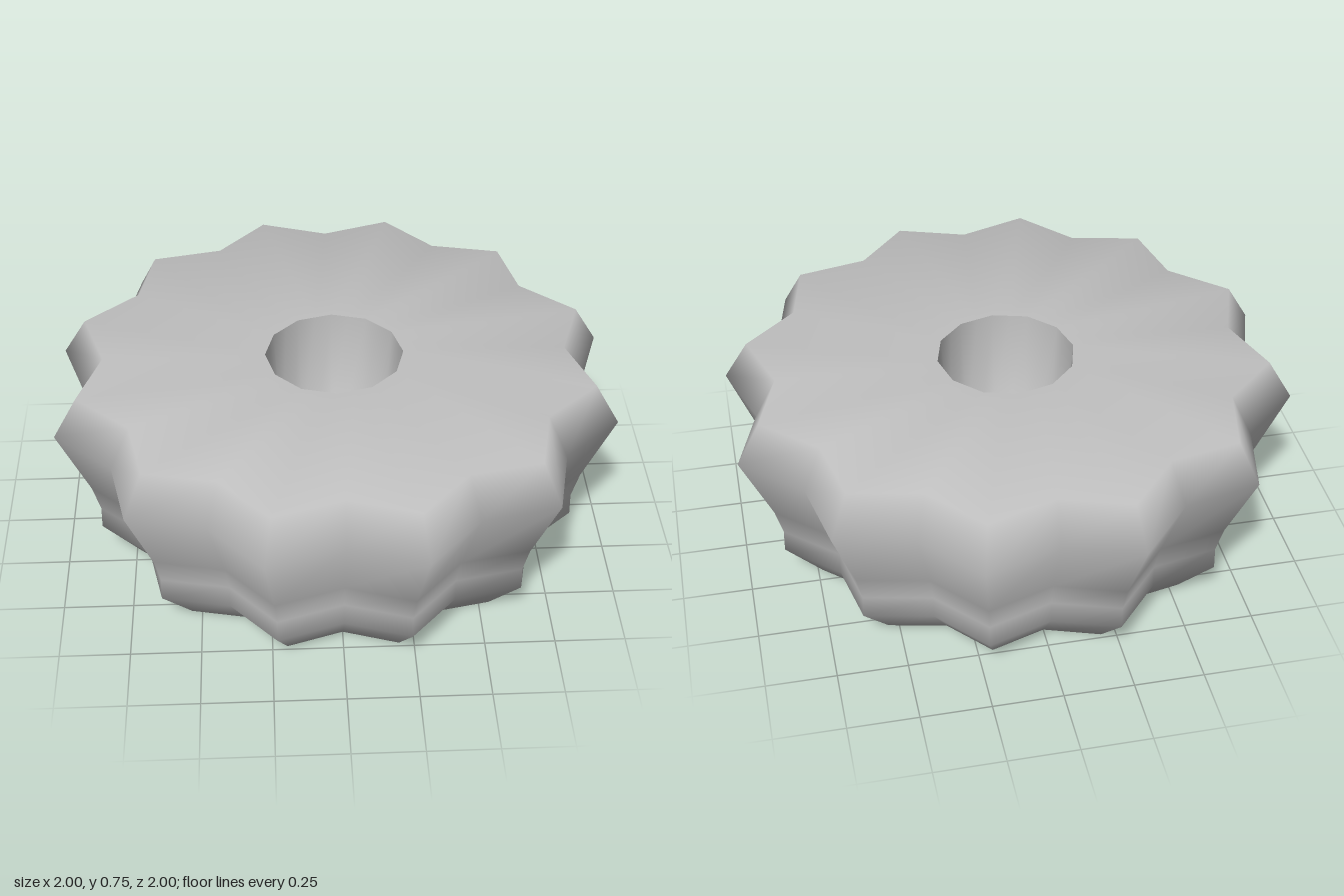
import * as THREE from 'three';

const SIDES = 24; // 12 ridges alternating with 12 grooves

// Joins rings of [y, ridge radius, groove radius]; a zero radius closes to a point
function ringSurface(rings) {
  const positions = [];
  const index = [];
  for (const [y, ridge, groove] of rings) {
    for (let j = 0; j < SIDES; j++) {
      const a = (j / SIDES) * Math.PI * 2;
      const r = j % 2 ? ridge : groove;
      positions.push(Math.sin(a) * r, y, Math.cos(a) * r);
    }
  }
  for (let i = 0; i < rings.length - 1; i++) {
    for (let j = 0; j < SIDES; j++) {
      const k = (j + 1) % SIDES;
      const a = i * SIDES + j, b = i * SIDES + k;
      const c = b + SIDES, d = a + SIDES;
      if (rings[i][1] > 0) index.push(a, b, c);
      else index.push(a, c, d);
      if (rings[i][1] > 0 && rings[i + 1][1] > 0) index.push(a, c, d);
    }
  }
  const geometry = new THREE.BufferGeometry();
  geometry.setAttribute('position', new THREE.Float32BufferAttribute(positions, 3));
  geometry.setIndex(index);
  geometry.computeVertexNormals();
  return geometry;
}

export function createModel() {
  const group = new THREE.Group();
  const grey = new THREE.MeshStandardMaterial({ color: 0xc0c0c0 });
  grey.name = 'light grey';

  const star = (y, r) => [y, r, r * 0.881];
  const round = (y, r) => [y, r * Math.cos(Math.PI / 12), r]; // twelve-sided ring

  // Fluted body with closed base, flared wall, bevelled shoulder and flat top
  const body = new THREE.Mesh(ringSurface([
    star(0, 0),
    star(0, 0.76),
    star(0.155, 0.897),
    star(0.24, 0.895),
    star(0.34, 0.922),
    star(0.6, 1.035),
    star(0.745, 0.947),
    round(0.745, 0.25),
  ]), grey);
  body.name = 'flutedBody';
  group.add(body);

  // Tapered blind hole in the middle of the top
  const socket = new THREE.Mesh(ringSurface([
    round(0.745, 0.25),
    round(0.3, 0.22),
    round(0.3, 0),
  ]), grey);
  socket.name = 'centreSocket';
  group.add(socket);

  return group;
}
